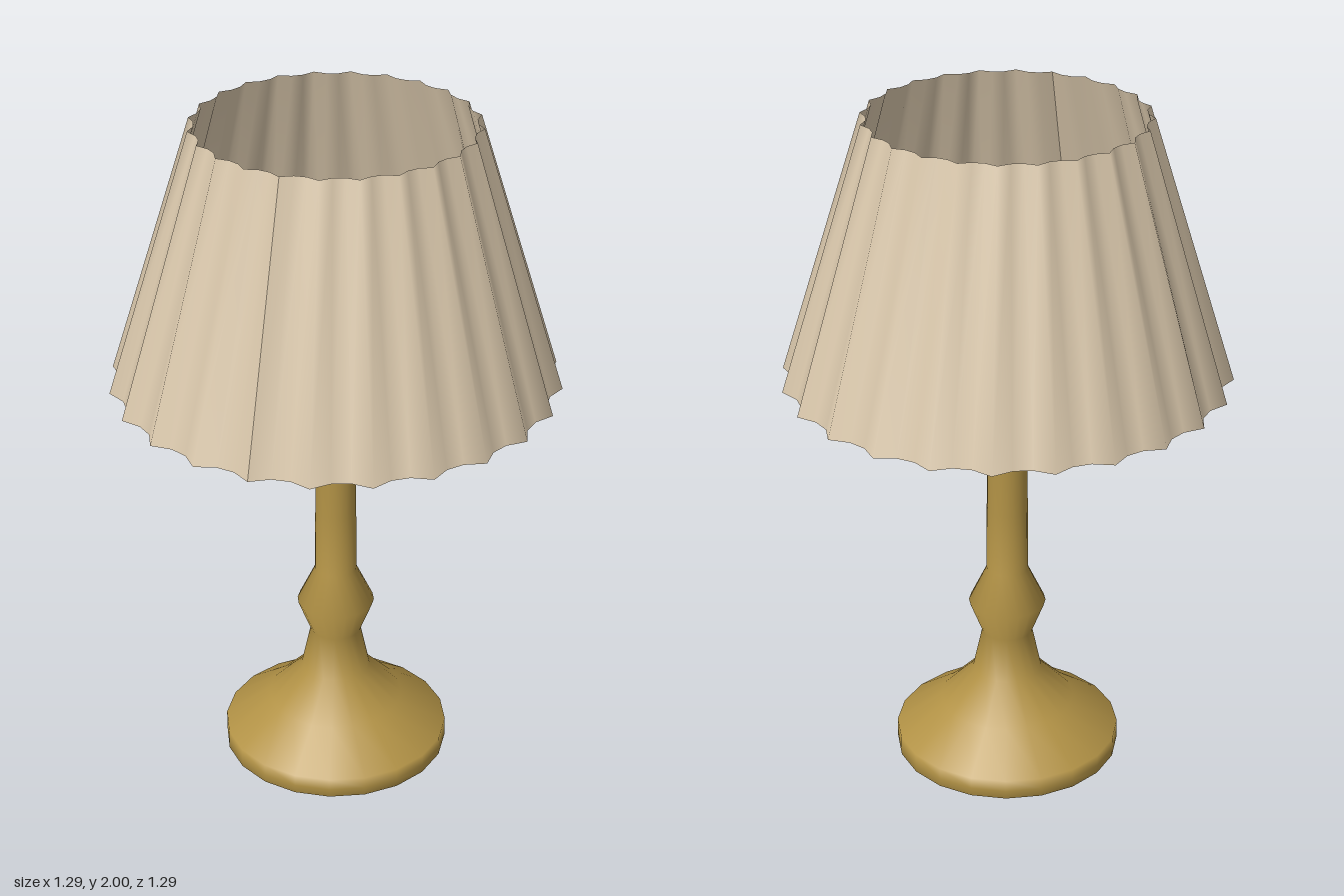
import * as THREE from 'three';

const brass = new THREE.MeshStandardMaterial({ color: 0xb39346 });
brass.name = 'brass';
const fabric = new THREE.MeshStandardMaterial({ color: 0xdac8ac, side: THREE.DoubleSide });
fabric.name = 'cream fabric';

// Turned foot, baluster, stem and rounded knob in one profile
function makeStand() {
  const profile = [
    [0, 0], [0.325, 0], [0.335, 0.005], [0.335, 0.03], [0.335, 0.065],
    [0.2, 0.16], [0.103, 0.26], [0.075, 0.39], [0.114, 0.49], [0.062, 0.6],
    [0.06, 0.8], [0.058, 1.22], [0.09, 1.3], [0.07, 1.36], [0, 1.38],
  ].map(([r, y]) => new THREE.Vector2(r, y));
  const stand = new THREE.Mesh(new THREE.LatheGeometry(profile, 20), brass);
  stand.name = 'stand';
  return stand;
}

// Open tapered shade with 24 pleats, three segments to each pleat
function makeShade() {
  const pleats = 24, bottom = 1.23, top = 2;
  const geometry = new THREE.CylinderGeometry(1, 1, top - bottom, pleats * 3, 1, true);
  geometry.translate(0, (top + bottom) / 2, 0);
  const p = geometry.attributes.position;
  for (let i = 0; i < p.count; i++) {
    const angle = Math.atan2(p.getX(i), p.getZ(i));
    const wave = Math.cos(angle * pleats);
    const r = p.getY(i) > 1.6 ? 0.39 + 0.012 * wave : 0.622 + 0.021 * wave;
    p.setX(i, Math.sin(angle) * r);
    p.setZ(i, Math.cos(angle) * r);
  }
  geometry.computeVertexNormals();
  const shade = new THREE.Mesh(geometry, fabric);
  shade.name = 'pleatedShade';
  return shade;
}

export function createModel() {
  const lamp = new THREE.Group();
  lamp.name = 'tableLamp';
  lamp.add(makeStand(), makeShade());
  return lamp;
}
